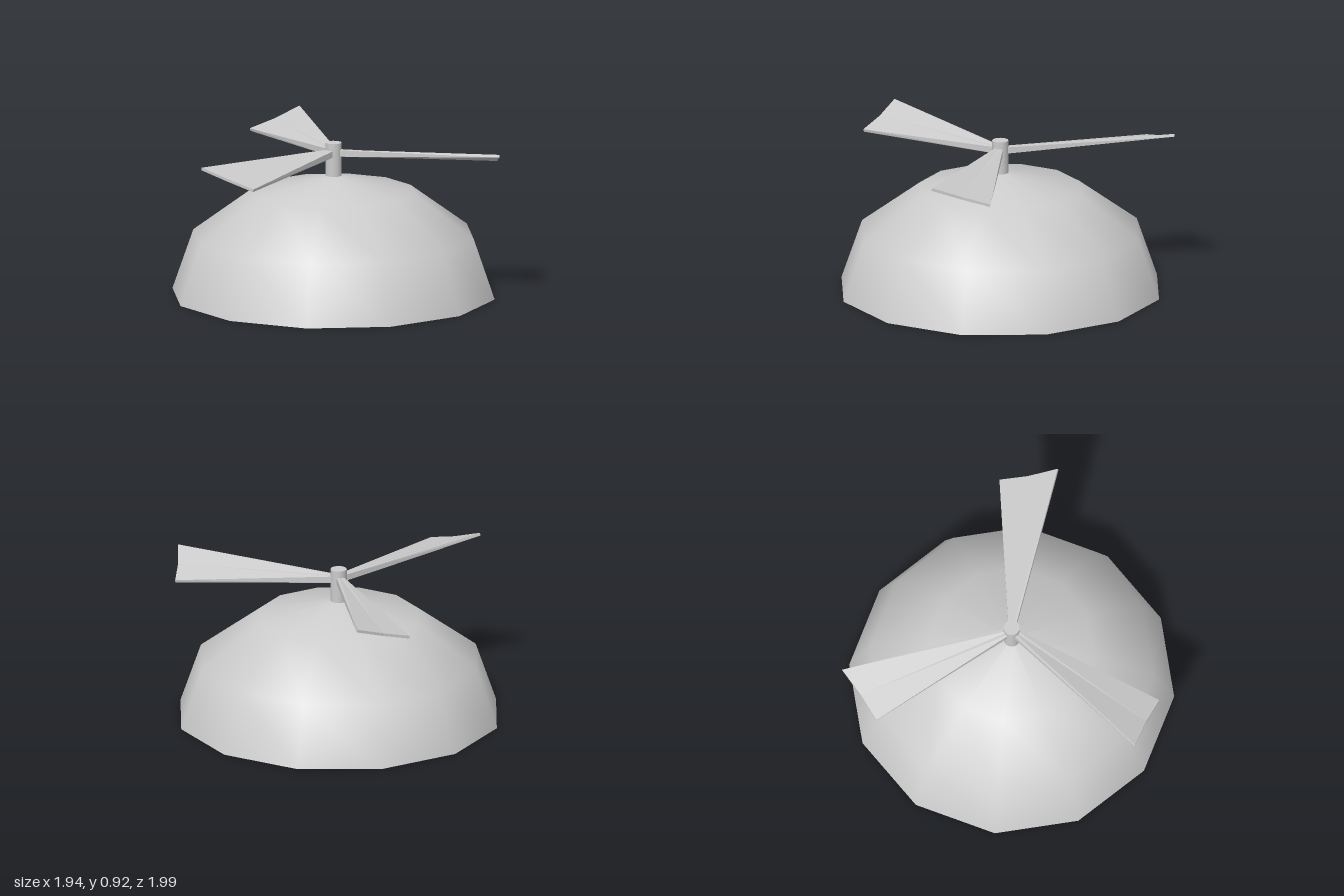
import * as THREE from 'three';

const material = new THREE.MeshStandardMaterial({ color: 0xcccccc });
const flat = new THREE.MeshStandardMaterial({ color: 0xcccccc, flatShading: true });

const SIDES = 12;

function lathe(name, profile) {
  const points = profile.map(([r, y]) => new THREE.Vector2(r, y));
  const mesh = new THREE.Mesh(new THREE.LatheGeometry(points, SIDES), material);
  mesh.name = name;
  return mesh;
}

// Blade pointing along +z: a small square root flaring to a wide, thin, tilted tip
function bladeGeometry() {
  const root = [[-0.018, 0.833, 0], [0, 0.833, 0], [0.018, 0.833, 0],
    [0.018, 0.873, 0], [0, 0.873, 0], [-0.018, 0.873, 0]];
  const tip = [[-0.172, 0.898, 1.022], [0, 0.843, 0.978], [0.168, 0.801, 0.953],
    [0.172, 0.817, 0.953], [0.005, 0.859, 0.978], [-0.167, 0.914, 1.022]];
  const n = root.length;
  const index = [];
  for (let i = 0; i < n; i++) {
    const j = (i + 1) % n;
    index.push(i, j, n + j, i, n + j, n + i);
  }
  // End caps, two quads each
  for (const [a, b, c, d] of [[0, 1, 4, 5], [1, 2, 3, 4]]) {
    index.push(n + a, n + b, n + c, n + a, n + c, n + d);
    index.push(a, c, b, a, d, c);
  }
  const geometry = new THREE.BufferGeometry();
  geometry.setAttribute('position', new THREE.Float32BufferAttribute([...root, ...tip].flat(), 3));
  geometry.setIndex(index);
  geometry.computeVertexNormals();
  return geometry;
}

export function createModel() {
  const model = new THREE.Group();
  model.name = 'propellerCap';

  // Cap: outer dome, sloping lining and flat inner crown
  model.add(lathe('dome', [[0.965, 0], [0.84, 0.36], [0.485, 0.622], [0, 0.727]]));
  model.add(lathe('liningWall', [[0.61, 0.48], [0.965, 0]]));
  model.add(lathe('liningCrown', [[0, 0.48], [0.61, 0.48]]));

  // Shaft
  const shaft = new THREE.Mesh(new THREE.CylinderGeometry(0.048, 0.048, 0.215, 16), material);
  shaft.name = 'shaft';
  shaft.position.y = 0.8075;
  model.add(shaft);

  // Three blades around the shaft
  const propeller = new THREE.Group();
  propeller.name = 'propeller';
  const geometry = bladeGeometry();
  for (let i = 0; i < 3; i++) {
    const blade = new THREE.Mesh(geometry, flat);
    blade.name = 'blade' + (i + 1);
    blade.rotation.y = (i * Math.PI * 2) / 3;
    propeller.add(blade);
  }
  model.add(propeller);

  model.position.set(-0.008, 0, -0.032);
  const root = new THREE.Group();
  root.add(model);
  return root;
}
